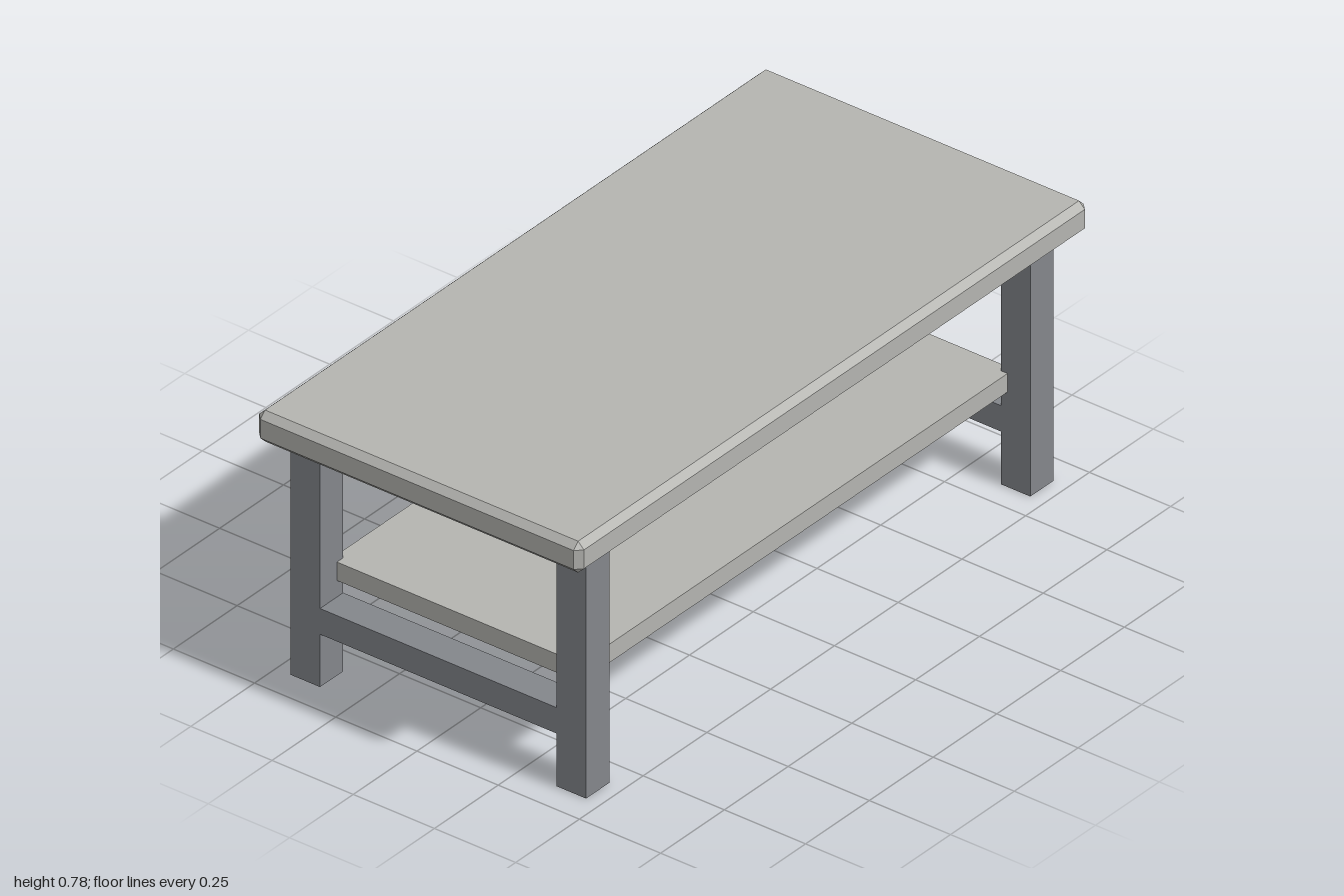
import * as THREE from 'three';
import { ConvexGeometry } from 'three/addons/geometries/ConvexGeometry.js';

// Box with every edge cut at 45 degrees
function chamferedBox(w, h, d, c) {
  const points = [];
  for (const sx of [-1, 1]) for (const sy of [-1, 1]) for (const sz of [-1, 1]) {
    const x = w / 2, y = h / 2, z = d / 2;
    points.push(
      new THREE.Vector3(sx * x, sy * (y - c), sz * (z - c)),
      new THREE.Vector3(sx * (x - c), sy * y, sz * (z - c)),
      new THREE.Vector3(sx * (x - c), sy * (y - c), sz * z)
    );
  }
  return new ConvexGeometry(points);
}

export function createModel() {
  const table = new THREE.Group();
  table.name = 'coffeeTable';

  const lightGrey = new THREE.MeshStandardMaterial({ color: 0xb4b4b0 });
  lightGrey.name = 'lightGrey';
  const slateGrey = new THREE.MeshStandardMaterial({ color: 0x83868b });
  slateGrey.name = 'slateGrey';

  const add = (name, geometry, material, x, y, z) => {
    const mesh = new THREE.Mesh(geometry, material);
    mesh.name = name;
    mesh.position.set(x, y, z);
    table.add(mesh);
  };

  // Bevelled top and the thin shelf let into the legs
  add('tableTop', chamferedBox(2, 0.09, 1, 0.018), lightGrey, 0, 0.735, 0);
  add('shelf', new THREE.BoxGeometry(1.7, 0.053, 0.77), lightGrey, 0, 0.2985, 0);

  // H-shaped end frame: two legs joined by a flush stretcher
  const outer = 0.455, inner = 0.364, height = 0.69, low = 0.151, high = 0.225;
  const outline = new THREE.Shape([
    [-outer, 0], [-inner, 0], [-inner, low], [inner, low], [inner, 0], [outer, 0],
    [outer, height], [inner, height], [inner, high], [-inner, high], [-inner, height], [-outer, height]
  ].map(([z, y]) => new THREE.Vector2(z, y)));
  const thickness = 0.091;
  const frame = new THREE.ExtrudeGeometry(outline, { depth: thickness, bevelEnabled: false });
  frame.translate(0, 0, -thickness / 2).rotateY(Math.PI / 2);
  add('leftLegFrame', frame, slateGrey, 0.871, 0, 0);
  add('rightLegFrame', frame, slateGrey, -0.871, 0, 0);

  return table;
}
